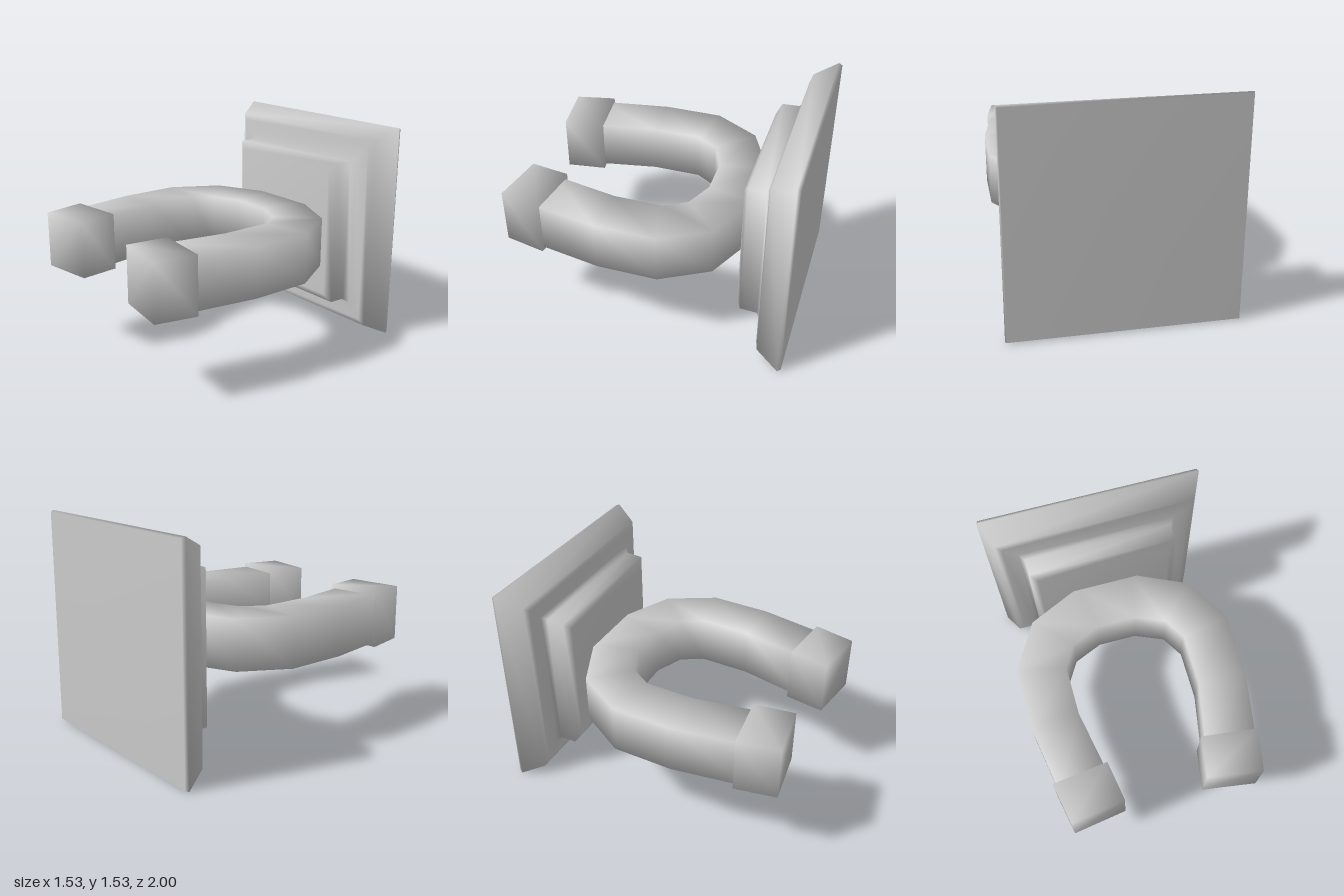
import * as THREE from 'three';

const MID = 0.767; // height of the centre line

// Smooth-shaded loft through four-cornered sections.
// Each section: plan points a and b ([x, z]) and half height h about MID.
function loft(name, sections) {
  const pos = [], idx = [];
  for (const { a, b, h } of sections) {
    pos.push(a[0], MID - h, a[1], b[0], MID - h, b[1], b[0], MID + h, b[1], a[0], MID + h, a[1]);
  }
  const last = (sections.length - 1) * 4;
  for (let i = 0; i < last; i += 4) {
    for (let j = 0; j < 4; j++) {
      const k = (j + 1) % 4;
      idx.push(i + j, i + k, i + 4 + k, i + j, i + 4 + k, i + 4 + j);
    }
  }
  idx.push(0, 2, 1, 0, 3, 2, last, last + 1, last + 2, last, last + 2, last + 3);
  const geo = new THREE.BufferGeometry();
  geo.setAttribute('position', new THREE.Float32BufferAttribute(pos, 3));
  geo.setIndex(idx);
  geo.computeVertexNormals();
  const mesh = new THREE.Mesh(geo, new THREE.MeshStandardMaterial({ color: 0xcccccc }));
  mesh.name = name;
  return mesh;
}

const flip = ([x, z]) => [-x, z];

export function createModel() {
  const group = new THREE.Group();
  group.name = 'horseshoeWallMount';

  // Stepped square wall plate: [z, half size] from back to front
  const plate = [
    [-1, 0.757], [-0.975, 0.767], [-0.815, 0.69], [-0.8, 0.65],
    [-0.797, 0.55], [-0.765, 0.52], [-0.645, 0.517], [-0.613, 0.465],
  ];
  group.add(loft('wallPlate', plate.map(([z, h]) => ({ a: [-h, z], b: [h, z], h }))));

  // Square-section horseshoe: [outer, inner] plan points from the left tip to the middle
  const half = [
    [[0.675, 0.8], [0.335, 0.76]],
    [[0.76, 0.29], [0.425, 0.28]],
    [[0.76, -0.13], [0.425, -0.065]],
    [[0.575, -0.455], [0.335, -0.215]],
    [[0.2, -0.63], [0.135, -0.3]],
  ];
  const whole = [...half, ...half.slice().reverse().map(pair => pair.map(flip))];
  group.add(loft('horseshoe', whole.map(([o, n]) => ({ a: o, b: n, h: 0.173 }))));

  // Square end caps: [inner, outer, half height] from back to front
  const cap = [
    [[0.325, 0.665], [0.71, 0.712], 0.199],
    [[0.28, 0.942], [0.655, 0.998], 0.195],
  ];
  group.add(loft('leftEndCap', cap.map(([n, o, h]) => ({ a: n, b: o, h }))));
  group.add(loft('rightEndCap', cap.map(([n, o, h]) => ({ a: flip(o), b: flip(n), h }))));

  return group;
}
